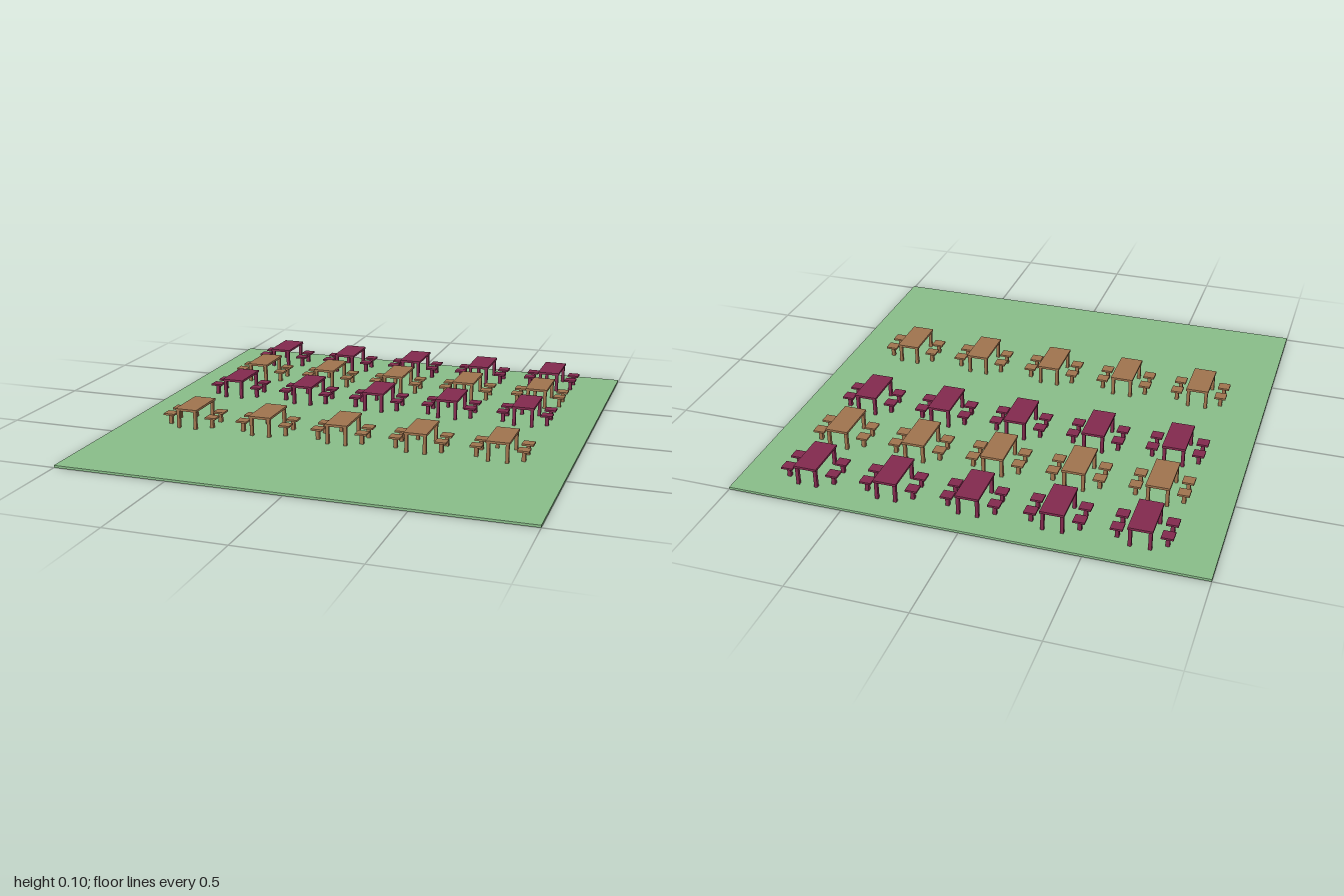
import * as THREE from 'three';

const GROUND = 0.01;

function box(name, w, h, d, x, y, z, material) {
  const mesh = new THREE.Mesh(new THREE.BoxGeometry(w, h, d), material);
  mesh.name = name;
  mesh.position.set(x, y + h / 2, z); // y is the underside
  return mesh;
}

// Rectangular table on four corner legs
function createTable(material) {
  const table = new THREE.Group();
  table.name = 'table';
  table.add(box('tableTop', 0.1, 0.01, 0.2, 0, 0.09, 0, material));
  for (const sx of [-1, 1]) {
    for (const sz of [-1, 1]) {
      table.add(box('tableLeg', 0.014, 0.08, 0.014, sx * 0.04, GROUND, sz * 0.088, material));
    }
  }
  return table;
}

// Square seat on one central post
function createStool(material) {
  const stool = new THREE.Group();
  stool.name = 'stool';
  stool.add(box('stoolSeat', 0.05, 0.008, 0.05, 0, 0.053, 0, material));
  stool.add(box('stoolPost', 0.016, 0.043, 0.016, 0, GROUND, 0, material));
  return stool;
}

// Table with two stools along each long side
function createDiningSet(material) {
  const set = new THREE.Group();
  set.name = 'diningSet';
  set.add(createTable(material));
  for (const x of [-0.1, 0.1]) {
    for (const z of [-0.046, 0.044]) {
      const stool = createStool(material);
      stool.position.set(x, 0, z);
      set.add(stool);
    }
  }
  return set;
}

export function createModel() {
  const grass = new THREE.MeshStandardMaterial({ color: 0x8abe8a });
  grass.name = 'grass green';
  const wood = new THREE.MeshStandardMaterial({ color: 0xa0744e });
  wood.name = 'wood brown';
  const plum = new THREE.MeshStandardMaterial({ color: 0x832a4e });
  plum.name = 'plum';

  const model = new THREE.Group();
  model.name = 'outdoorDiningArea';
  model.add(box('lawn', 2, GROUND, 2, 0, 0, 0, grass));

  // Four rows of five sets in alternating colours
  const rows = [[-0.8, plum], [-0.5, wood], [-0.2, plum], [0.3, wood]];
  for (const [z, material] of rows) {
    for (let i = -2; i <= 2; i++) {
      const set = createDiningSet(material);
      set.position.set(i * 0.35, 0, z);
      model.add(set);
    }
  }
  return model;
}
